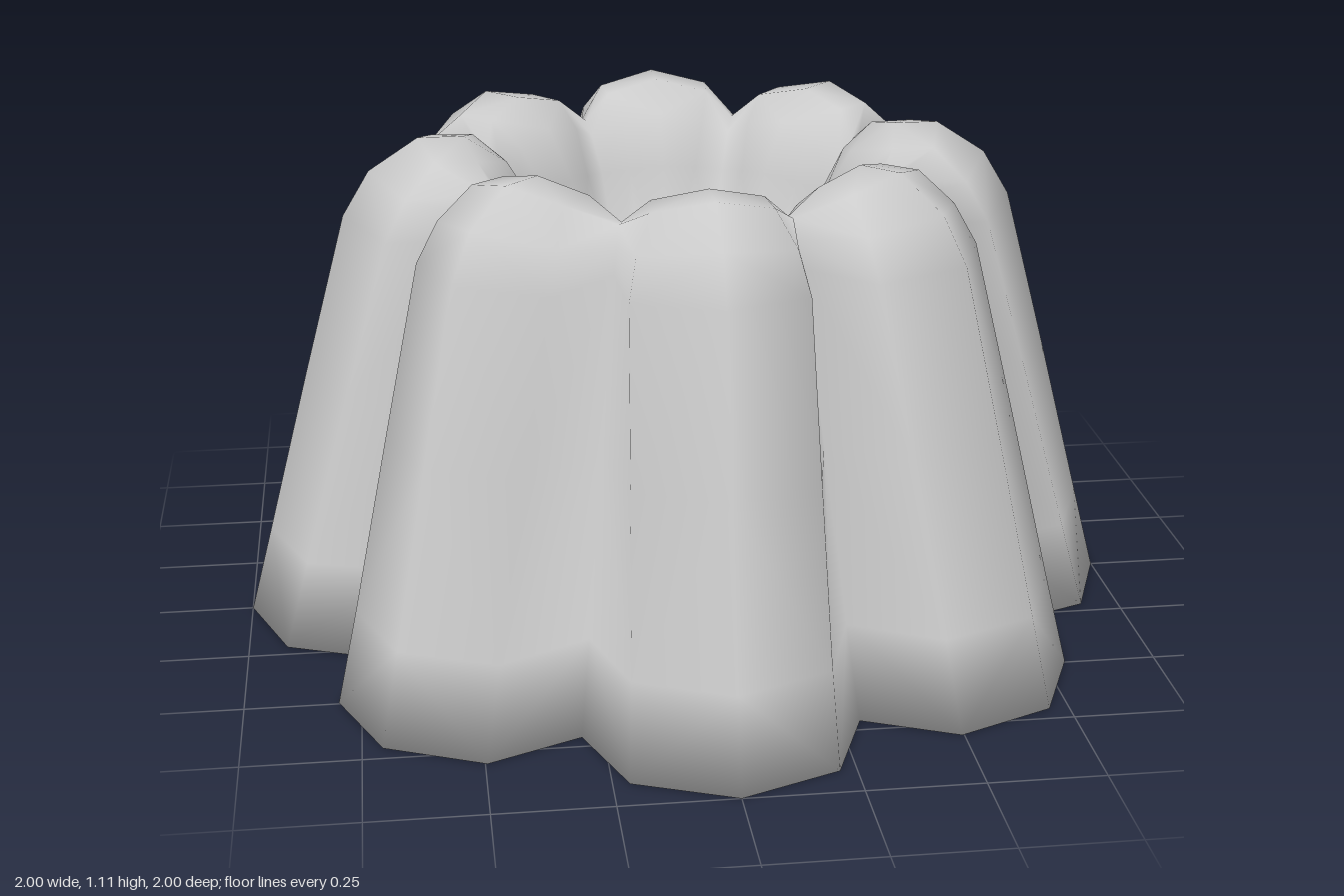
import * as THREE from 'three';

const LOBES = 8;

// Cross-sections from the underside centre, up the outside, over the crown and into the hollow.
// Each: [tip r, tip y, shoulder r, shoulder y, shoulder angle in degrees, valley r, valley y]
const SECTIONS = [
  [0, 0, 0, 0, 13, 0, 0],
  [1.0, 0, 0.94, 0, 13.2, 0.77, 0],
  [0.947, 0.2, 0.885, 0.2, 13.4, 0.71, 0.2],
  [0.85, 0.57, 0.785, 0.57, 14.3, 0.61, 0.57],
  [0.75, 0.94, 0.685, 0.93, 15.6, 0.51, 0.93],
  [0.69, 1.04, 0.635, 1.015, 15, 0.49, 0.985],
  [0.58, 1.112, 0.56, 1.085, 13, 0.475, 1.03],
  [0.48, 1.112, 0.47, 1.085, 14.5, 0.455, 1.03],
  [0.385, 1.05, 0.4, 1.03, 14.5, 0.425, 1.0],
  [0.32, 0.94, 0.345, 0.93, 13, 0.375, 0.92],
  [0.28, 0.68, 0.285, 0.68, 12, 0.29, 0.68],
  [0, 0.6, 0, 0.6, 13, 0, 0.6],
];

function flutedRing() {
  const positions = [];
  const indices = [];
  const cols = LOBES * 4;
  const step = (Math.PI * 2) / LOBES;

  for (const [tr, ty, sr, sy, deg, vr, vy] of SECTIONS) {
    const s = THREE.MathUtils.degToRad(deg);
    // one lobe: tip, shoulder, valley, mirrored shoulder
    const lobe = [[tr, ty, 0], [sr, sy, s], [vr, vy, step / 2], [sr, sy, step - s]];
    for (let k = 0; k < LOBES; k++) {
      for (const [r, y, a] of lobe) {
        const angle = k * step + a;
        positions.push(r * Math.sin(angle), y, r * Math.cos(angle));
      }
    }
  }

  const last = SECTIONS.length - 2;
  for (let i = 0; i <= last; i++) {
    for (let j = 0; j < cols; j++) {
      const a = i * cols + j;
      const b = i * cols + ((j + 1) % cols);
      const c = b + cols;
      const d = a + cols;
      if (i === 0) indices.push(a, c, d); // underside fan
      else if (i === last) indices.push(a, b, d); // hollow floor fan
      else if (j % 2) indices.push(a, b, c, a, c, d);
      else indices.push(a, b, d, b, c, d);
    }
  }

  const geometry = new THREE.BufferGeometry();
  geometry.setAttribute('position', new THREE.Float32BufferAttribute(positions, 3));
  geometry.setIndex(indices);
  geometry.computeVertexNormals();
  return geometry;
}

export function createModel() {
  const group = new THREE.Group();
  group.name = 'flutedCake';

  // Lobed body with a central hollow
  const body = new THREE.Mesh(flutedRing(), new THREE.MeshStandardMaterial({ color: 0xcccccc }));
  body.name = 'cakeBody';
  group.add(body);

  return group;
}
